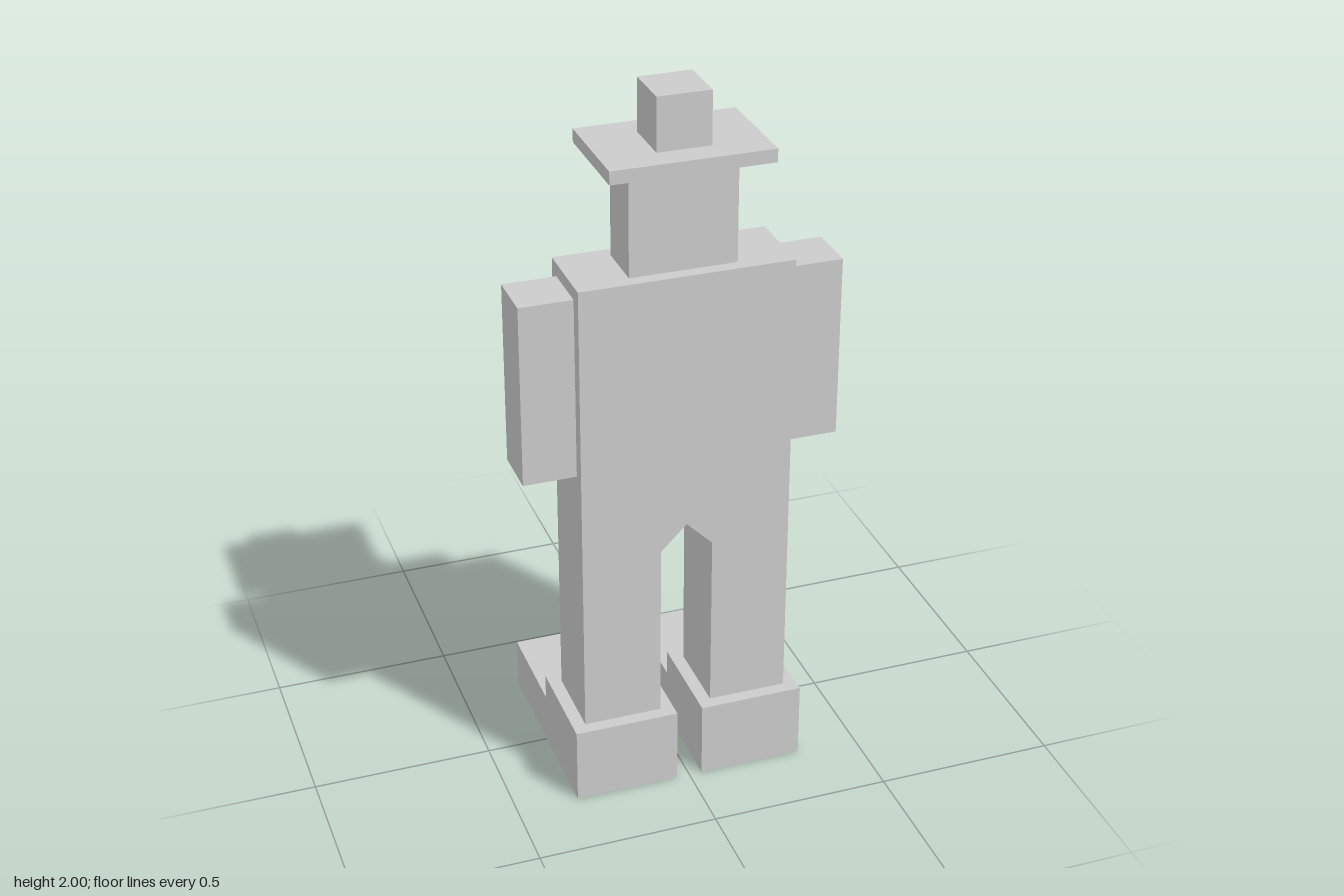
import * as THREE from 'three';

const U = 2 / 55; // half-block grid step

export function createModel() {
  const model = new THREE.Group();
  const grey = new THREE.MeshStandardMaterial({ color: 0xcccccc, flatShading: true });
  const thin = new THREE.MeshStandardMaterial({ color: 0xcccccc, side: THREE.DoubleSide });

  const add = (name, geometry, material = grey) => {
    const mesh = new THREE.Mesh(geometry, material);
    mesh.name = name;
    model.add(mesh);
  };
  // Box between two corners, in grid steps
  const box = (name, x0, x1, y0, y1, z0, z1) => add(name,
    new THREE.BoxGeometry((x1 - x0) * U, (y1 - y0) * U, (z1 - z0) * U)
      .translate((x0 + x1) / 2 * U, (y0 + y1) / 2 * U, (z0 + z1) / 2 * U));
  // Straight extrusion of an outline, in grid steps
  const extrude = (points, depth) => new THREE.ExtrudeGeometry(
    new THREE.Shape(points.map(([x, y]) => new THREE.Vector2(x * U, y * U))),
    { depth: depth * U, bevelEnabled: false });

  // Torso and legs, with a pointed gap between the legs
  add('torsoAndLegs', extrude([
    [-8, 6], [-2, 6], [-2, 20], [0, 22], [2, 20], [2, 6], [8, 6], [8, 42], [-8, 42],
  ], 6).translate(0, 0, U));

  // Head and hat
  box('head', -4, 4, 42, 50, 2, 6);
  box('hatBrim', -6, 6, 50, 51, 0, 8);
  box('hatCrown', -2, 2, 51, 55, 2, 6);

  for (const [side, s] of [['left', 1], ['right', -1]]) {
    // Arm
    box(side + 'Arm', s * 10 - 2, s * 10 + 2, 27, 41, 2, 6);

    // Stepped shoe: outline runs along z, extruded across x
    add(side + 'Shoe', extrude([[-8, 0], [8, 0], [8, 6], [0, 6], [0, 4], [-8, 4]], 8)
      .rotateY(-Math.PI / 2).translate((s * 5 + 4) * U, 0, 0));

    // Thin eye plate standing just off the face
    add(side + 'Eye', new THREE.PlaneGeometry(2 * U, 2 * U)
      .rotateY(Math.PI).translate(s * 2 * U, 47 * U, U), thin);
  }
  return model;
}
